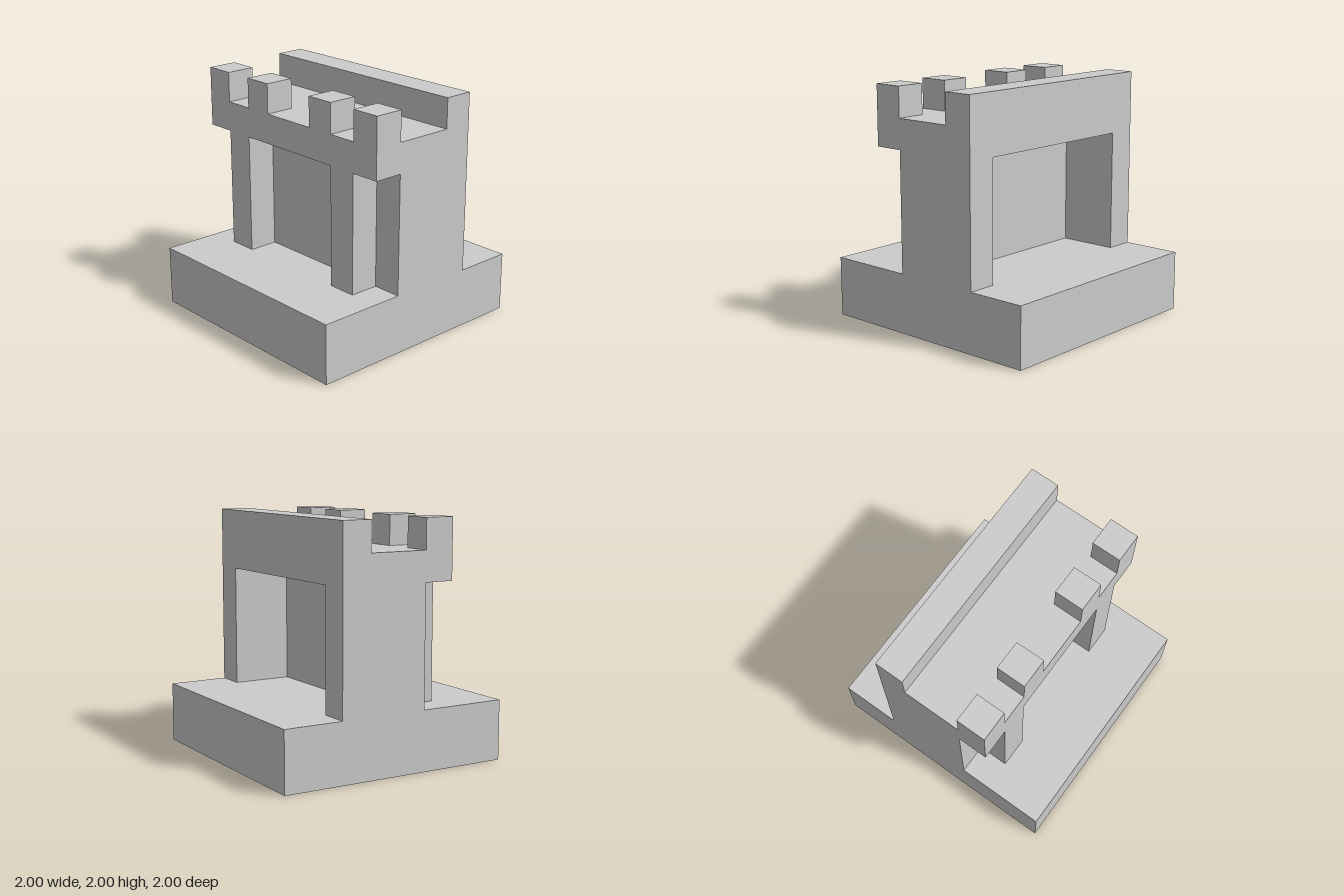
import * as THREE from 'three';

const material = new THREE.MeshStandardMaterial({ color: 0xcccccc, flatShading: true });

// Box given by its lower and upper corners
function box(name, [x0, y0, z0], [x1, y1, z1]) {
  const mesh = new THREE.Mesh(new THREE.BoxGeometry(x1 - x0, y1 - y0, z1 - z0), material);
  mesh.position.set((x0 + x1) / 2, (y0 + y1) / 2, (z0 + z1) / 2);
  mesh.name = name;
  return mesh;
}

// Floor plan of the walls: [x, z] for the left half, mirrored to the right
function wallPlan() {
  const half = [
    [0.5, 0.25], [0.5, 0.5], [0.75, 0.5], [0.75, 0.25], // front pillar
    [1, 0.25], [1, -0.5], [0.75, -0.5], [0.75, 0],      // side wall and rear recess
  ];
  const mirrored = half.map(([x, z]) => [-x, z]).reverse();
  return new THREE.Shape([...half, ...mirrored].map(([x, z]) => new THREE.Vector2(x, -z)));
}

export function createModel() {
  const model = new THREE.Group();
  model.name = 'gatehouse';

  // Square plinth
  model.add(box('base', [-1, 0, -1], [1, 0.5, 1]));

  // Walls with pillars, extruded upwards from the plan
  const wallGeometry = new THREE.ExtrudeGeometry(wallPlan(), { depth: 1, bevelEnabled: false });
  wallGeometry.rotateX(-Math.PI / 2);
  const walls = new THREE.Mesh(wallGeometry, material);
  walls.position.y = 0.5;
  walls.name = 'walls';
  model.add(walls);

  // Roof slab and rear parapet
  model.add(box('roof', [-1, 1.5, -0.5], [1, 1.75, 0.5]));
  model.add(box('rearParapet', [-1, 1.75, -0.5], [1, 2, -0.25]));

  // Front battlements
  const battlements = new THREE.Group();
  battlements.name = 'battlements';
  for (const x of [-1, -0.5, 0.25, 0.75]) {
    battlements.add(box('merlon', [x, 1.75, 0.25], [x + 0.25, 2, 0.5]));
  }
  model.add(battlements);

  return model;
}
